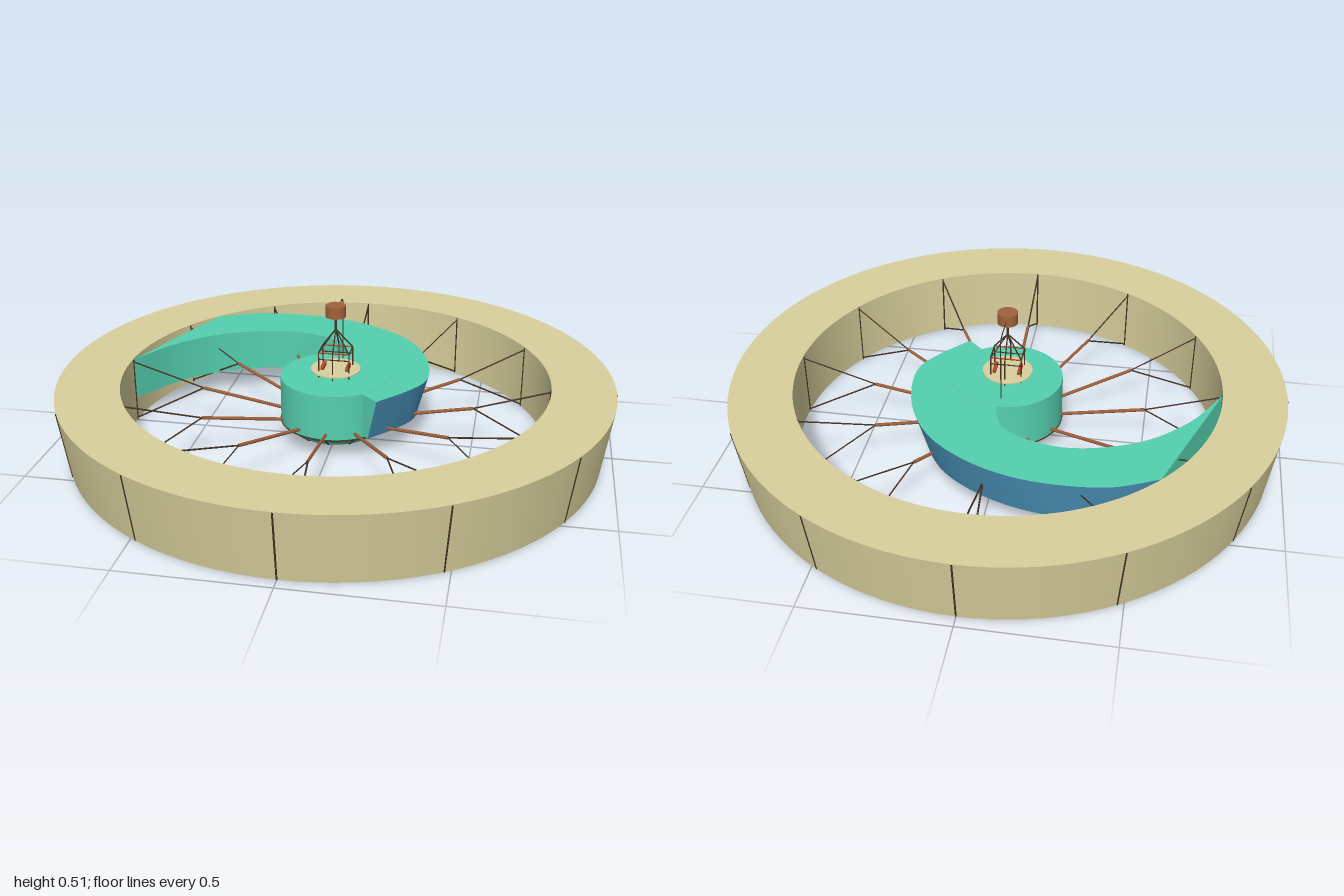
import * as THREE from 'three';
import { toCreasedNormals } from 'three/addons/utils/BufferGeometryUtils.js';

const paint = (color) => new THREE.MeshStandardMaterial({ color, side: THREE.DoubleSide });
const CREAM = paint(0xd9d09c), TEAL = paint(0x55d0b0), BLUE = paint(0x4a92b8);
const SLATE = paint(0x88aab0), WOOD = paint(0xa0623c), DARK = paint(0x4a3626), RED = paint(0xb5482e);
const V = (x, y, z) => new THREE.Vector3(x, y, z);

function add(parent, name, geometry, material) {
  const mesh = new THREE.Mesh(geometry, material);
  mesh.name = name;
  parent.add(mesh);
  return mesh;
}

// Round bar between two points
function bar(parent, name, a, b, radius, material, sides = 6) {
  const mesh = add(parent, name, new THREE.CylinderGeometry(radius, radius, a.distanceTo(b), sides), material);
  mesh.position.copy(a).add(b).multiplyScalar(0.5);
  mesh.quaternion.setFromUnitVectors(V(0, 1, 0), b.clone().sub(a).normalize());
  return mesh;
}

// Solid of revolution with crisp edges
function lathe(parent, name, profile, material, segments = 96) {
  const g = new THREE.LatheGeometry(profile.map(([r, y]) => new THREE.Vector2(r, y)), segments);
  return add(parent, name, toCreasedNormals(g, 0.45), material);
}

// Ribbon of quads between two equally sampled rails
function ribbon(parent, name, a, b, material) {
  const pos = [], index = [];
  a.forEach((p, i) => {
    pos.push(p.x, p.y, p.z, b[i].x, b[i].y, b[i].z);
    if (i) {
      const k = i * 2;
      index.push(k - 2, k - 1, k, k, k - 1, k + 1);
    }
  });
  const g = new THREE.BufferGeometry();
  g.setAttribute('position', new THREE.Float32BufferAttribute(pos, 3));
  g.setIndex(index);
  g.computeVertexNormals();
  return add(parent, name, g, material);
}

// Smooth plan-view curve sampled to points at height y
const rail = (pts, y, n) =>
  new THREE.CatmullRomCurve3(pts.map(([x, z]) => V(x, y, z))).getPoints(n);

// Curved arm sweeping from the rim round the hub
function spiralArm() {
  const arm = new THREE.Group();
  arm.name = 'spiralArm';
  const TOP = 0.249, LOW = 0.09;
  const outer = rail([[-0.58, -0.505], [-0.43, -0.57], [-0.25, -0.587], [-0.1, -0.57], [0.05, -0.515],
    [0.2, -0.405], [0.29, -0.26], [0.33, -0.1], [0.325, 0.01], [0.27, 0.105], [0.18, 0.21]], TOP, 60);
  const hubArc = [];
  for (let i = 1; i <= 24; i++) {
    const a = -Math.PI / 2 + (i / 24) * 2.48;
    hubArc.push(V(Math.cos(a) * 0.196, TOP, Math.sin(a) * 0.196));
  }
  const inner = rail([[-0.77, 0], [-0.66, -0.18], [-0.5, -0.32], [-0.28, -0.39], [-0.12, -0.365],
    [-0.03, -0.31], [0.01, -0.196]], TOP, 36).concat(hubArc);
  const innerLow = inner.map((p) => V(p.x, LOW, p.z));
  const outerLow = outer.map((p, i) => {
    const d = inner[i].clone().sub(p);
    return p.clone().addScaledVector(d.normalize(), 0.045).setY(LOW);
  });
  const last = outer.length - 1;
  ribbon(arm, 'armTop', outer, inner, TEAL);
  ribbon(arm, 'armInnerWall', inner, innerLow, TEAL);
  ribbon(arm, 'armOuterWall', outer, outerLow, BLUE);
  ribbon(arm, 'armUnderside', outerLow, innerLow, SLATE);
  for (const i of [0, last])
    ribbon(arm, 'armEnd', [outer[i], inner[i]], [outerLow[i], innerLow[i]], TEAL);
  return arm;
}

// Rim with flared outer wall
function rim() {
  const g = new THREE.Group();
  g.name = 'rim';
  lathe(g, 'rimBody', [[0.96, 0.002], [0.995, 0.25], [0.77, 0.25], [0.77, 0.002], [0.96, 0.002]], CREAM, 120);
  return g;
}

// One of twelve sectors: rim seams, strut, stays and hub rib
function spoke(angle) {
  const g = new THREE.Group();
  g.name = 'spoke';
  bar(g, 'outerSeam', V(0.96, 0.004, 0), V(0.995, 0.248, 0), 0.003, DARK, 4);
  bar(g, 'bottomSeam', V(0.77, 0.003, 0), V(0.96, 0.003, 0), 0.003, DARK, 4);
  bar(g, 'innerSeam', V(0.769, 0.004, 0), V(0.769, 0.248, 0), 0.003, DARK, 4);
  const joint = V(0.5, 0.155, 0);
  bar(g, 'strut', V(0.19, 0.1, 0), joint, 0.006, WOOD);
  bar(g, 'upperStay', joint, V(0.77, 0.24, 0), 0.003, DARK, 4);
  bar(g, 'lowerStay', joint, V(0.77, 0.01, 0), 0.003, DARK, 4);
  bar(g, 'hubRibOuter', V(0.2, 0.08, 0), V(0.15, 0.04, 0), 0.003, DARK, 4);
  bar(g, 'hubRibInner', V(0.15, 0.04, 0), V(0.065, 0.004, 0), 0.003, DARK, 4);
  g.rotation.y = angle;
  return g;
}

// Drum hub with tapered bowl beneath
function hub() {
  const g = new THREE.Group();
  g.name = 'hub';
  lathe(g, 'hubDrum', [[0, 0.003], [0.065, 0.003], [0.15, 0.04], [0.2, 0.08], [0.2, 0.25], [0, 0.25]], TEAL, 48);
  add(g, 'hubCap', new THREE.CylinderGeometry(0.055, 0.055, 0.006, 24), SLATE).position.y = 0.003;
  const band = add(g, 'hubBand', new THREE.TorusGeometry(0.2, 0.003, 6, 48), DARK);
  band.rotation.x = Math.PI / 2;
  band.position.y = 0.08;
  return g;
}

// Open frame mast with a tank and a drop pipe
function mast() {
  const g = new THREE.Group();
  g.name = 'mast';
  add(g, 'deck', new THREE.CylinderGeometry(0.09, 0.09, 0.004, 32), CREAM).position.y = 0.273;
  for (const sx of [-1, 1]) for (const sz of [-1, 1]) {
    const foot = V(sx * 0.055, 0.25, sz * 0.04), knee = V(sx * 0.055, 0.345, sz * 0.04);
    bar(g, 'post', foot, knee, 0.0025, DARK);
    bar(g, 'rafter', knee, V(0, 0.425, 0), 0.0025, DARK);
  }
  for (const s of [-1, 1]) {
    bar(g, 'sidePost', V(0, 0.25, s * 0.065), V(0, 0.345, s * 0.065), 0.0025, DARK);
    bar(g, 'sideRafter', V(0, 0.345, s * 0.065), V(0, 0.425, 0), 0.0025, DARK);
    bar(g, 'upperRail', V(-0.055, 0.345, s * 0.04), V(0.055, 0.345, s * 0.04), 0.0025, RED);
    bar(g, 'lowerRail', V(-0.055, 0.32, s * 0.04), V(0.055, 0.32, s * 0.04), 0.002, DARK);
    bar(g, 'endRail', V(s * 0.055, 0.345, -0.04), V(s * 0.055, 0.345, 0.04), 0.0025, DARK);
    add(g, 'bench', new THREE.BoxGeometry(0.012, 0.012, 0.06), RED).position.set(s * 0.045, 0.28, 0);
  }
  bar(g, 'column', V(0, 0.41, 0), V(0, 0.475, 0), 0.005, DARK);
  bar(g, 'tank', V(0, 0.473, 0), V(0, 0.515, 0), 0.036, WOOD, 24);
  const path = new THREE.CurvePath();
  path.add(new THREE.LineCurve3(V(0, 0.493, -0.03), V(0, 0.493, -0.12)));
  path.add(new THREE.QuadraticBezierCurve3(V(0, 0.493, -0.12), V(0, 0.493, -0.147), V(0, 0.465, -0.147)));
  path.add(new THREE.LineCurve3(V(0, 0.465, -0.147), V(0, 0.25, -0.147)));
  add(g, 'dropPipe', new THREE.TubeGeometry(path, 48, 0.002, 6), DARK);
  return g;
}

export function createModel() {
  const model = new THREE.Group();
  model.name = 'spiralWheel';
  model.add(rim(), hub(), spiralArm(), mast());
  for (let i = 0; i < 12; i++) model.add(spoke((i * Math.PI) / 6));
  return model;
}
